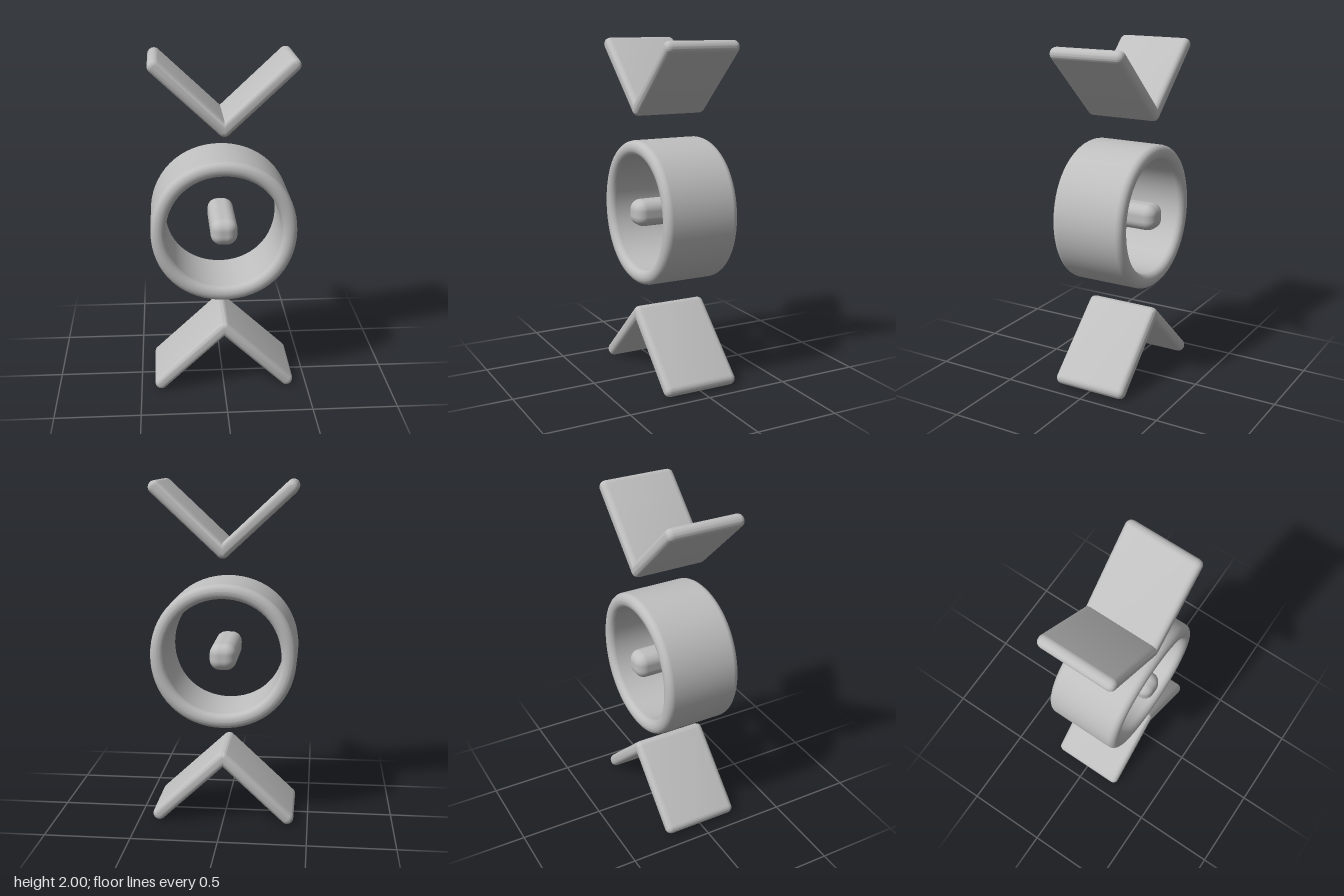
import * as THREE from 'three';
import { toCreasedNormals } from 'three/addons/utils/BufferGeometryUtils.js';
import { RoundedBoxGeometry } from 'three/addons/geometries/RoundedBoxGeometry.js';

const gray = new THREE.MeshStandardMaterial({ color: 0xbfbfbf });
gray.name = 'plain gray';

// V-shaped plate with soft edges; its fold lies on the local origin
function chevronGeometry() {
  const x = 0.38, y = 0.355, r = 0.01, bevel = 0.028, edge = 0.035, depth = 0.458;
  const a = Math.atan2(y, x), q = Math.PI / 2;
  const shape = new THREE.Shape();
  shape.absarc(-x, y, r, q - a, 3 * q - a, false);
  shape.absarc(0, 0, r, -q - a, -q + a, false);
  shape.absarc(x, y, r, a - q, a + q, false);
  shape.lineTo(0, r / Math.cos(a));
  const geo = new THREE.ExtrudeGeometry(shape, {
    depth: depth - 2 * edge, bevelEnabled: true, bevelSize: bevel,
    bevelThickness: edge, bevelSegments: 5, curveSegments: 10,
  });
  geo.translate(0, 0, -depth / 2 + edge);
  return toCreasedNormals(geo, 0.9);
}

// Broad hoop with a rounded rim, slightly flattened at its four extremes
function hoopGeometry() {
  const inner = 0.34, outer = 0.428, half = 0.23, r = 0.04;
  const corners = [[outer, -half], [outer, half], [inner, half], [inner, -half]];
  const points = [];
  corners.forEach(([cx, cy], i) => {
    const ox = cx === outer ? outer - r : inner + r;
    const oy = cy > 0 ? half - r : -half + r;
    for (let k = 0; k <= 5; k++) {
      const t = (i - 1 + k / 5) * Math.PI / 2;
      points.push(new THREE.Vector2(ox + r * Math.cos(t), oy + r * Math.sin(t)));
    }
  });
  points.push(points[0].clone());
  const geo = new THREE.LatheGeometry(points, 64);
  geo.rotateX(Math.PI / 2);
  const p = geo.attributes.position;
  for (let i = 0; i < p.count; i++) {
    const px = p.getX(i), py = p.getY(i);
    const s = 0.994 - 0.006 * Math.cos(4 * Math.atan2(py, px));
    p.setXY(i, px * s, py * s);
  }
  return geo;
}

export function createModel() {
  const group = new THREE.Group();
  const add = (name, geo, y) => {
    const mesh = new THREE.Mesh(geo, gray);
    mesh.name = name;
    mesh.position.y = y;
    group.add(mesh);
    return mesh;
  };

  // Matching chevrons above and below
  const chevron = chevronGeometry();
  add('upperChevron', chevron, 1.607);
  add('lowerChevron', chevron, 0.395).rotation.z = Math.PI;

  // Hoop with a floating pin at its centre
  add('hoop', hoopGeometry(), 1.003);
  add('centrePin', new RoundedBoxGeometry(0.155, 0.155, 0.476, 5, 0.06), 1.003);

  return group;
}
